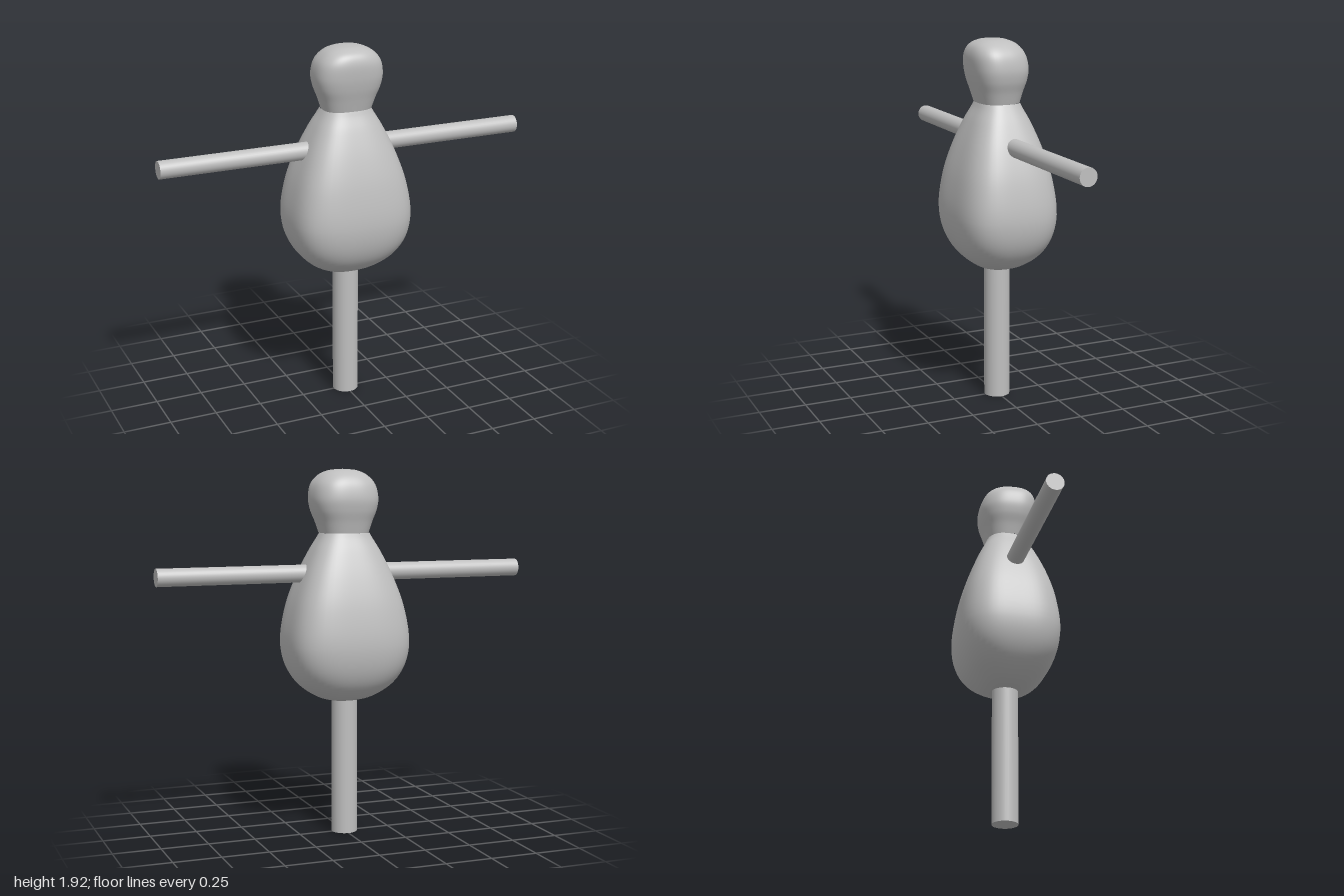
import * as THREE from 'three';

const grey = new THREE.MeshStandardMaterial({ color: 0xbfbfbf });
grey.name = 'grey';

// Smooth skin over rounded-square sections: [y, half width, half depth, z centre, squareness]
function loft(sections, taper, steps = 48, sides = 64) {
  const sizes = new THREE.CatmullRomCurve3(sections.map(s => new THREE.Vector3(s[1], s[0], s[2])), false, 'centripetal');
  const shape = new THREE.CatmullRomCurve3(sections.map(s => new THREE.Vector3(s[3], s[4], 0)), false, 'catmullrom', 0.5);
  const pos = [], index = [];
  const signedPow = (v, p) => Math.sign(v) * Math.abs(v) ** p;
  for (let i = 0; i <= steps; i++) {
    const p = sizes.getPoint(i / steps), q = shape.getPoint(i / steps);
    for (let j = 0; j < sides; j++) {
      const a = (j / sides) * Math.PI * 2;
      // Radial superellipse keeps the points evenly spread around the corners
      const c = Math.cos(a), s = Math.sin(a);
      const r = (Math.abs(c) ** q.y + Math.abs(s) ** q.y) ** (-1 / q.y);
      const z = signedPow(s * r, 1);
      pos.push(Math.max(p.x, 0) * c * r * (1 + taper * z), p.y, Math.max(p.z, 0) * z + q.x);
      if (i < steps) {
        const k = (j + 1) % sides, lo = i * sides, hi = lo + sides;
        index.push(lo + j, hi + j, lo + k, lo + k, hi + j, hi + k);
      }
    }
  }
  const g = new THREE.BufferGeometry();
  g.setAttribute('position', new THREE.Float32BufferAttribute(pos, 3));
  g.setIndex(index);
  g.computeVertexNormals();
  return g;
}

export function createModel() {
  const model = new THREE.Group();
  const add = (name, geometry) => {
    const mesh = new THREE.Mesh(geometry, grey);
    mesh.name = name;
    model.add(mesh);
    return mesh;
  };

  // Pear-shaped body, closed below and open at the neck
  add('body', loft([
    [0.711, 0, 0, 0, 2.2],
    [0.716, 0.085, 0.07, 0, 2.3],
    [0.743, 0.165, 0.135, 0, 2.5],
    [0.81, 0.25, 0.205, 0, 2.9],
    [0.9, 0.3, 0.246, 0, 3.3],
    [1.02, 0.32, 0.263, 0, 3.5],
    [1.2, 0.295, 0.244, 0, 3.5],
    [1.36, 0.243, 0.203, 0, 3.3],
    [1.5, 0.179, 0.15, 0, 3.0],
    [1.565, 0.142, 0.118, 0, 2.8],
    [1.592, 0.127, 0.107, 0, 2.7],
  ], 0));

  // Head, flaring up from the neck to a rounded crown
  add('head', loft([
    [1.592, 0.127, 0.107, 0, 2.7],
    [1.65, 0.145, 0.122, 0.001, 2.8],
    [1.71, 0.167, 0.139, 0.001, 2.9],
    [1.77, 0.176, 0.148, 0.003, 2.9],
    [1.84, 0.163, 0.142, 0.011, 2.8],
    [1.885, 0.128, 0.118, 0.018, 2.6],
    [1.912, 0.075, 0.07, 0.022, 2.4],
    [1.92, 0, 0, 0.024, 2.2],
  ], 0.06));

  // Upright post
  add('post', new THREE.CylinderGeometry(0.068, 0.068, 0.78, 32)).position.y = 0.39;

  // Straight arms
  for (const side of [1, -1]) {
    const arm = add(side > 0 ? 'leftArm' : 'rightArm', new THREE.CylinderGeometry(0.046, 0.046, 0.85, 32));
    arm.rotation.z = Math.PI / 2;
    arm.position.set(side * 0.575, 1.385, 0);
  }
  return model;
}
